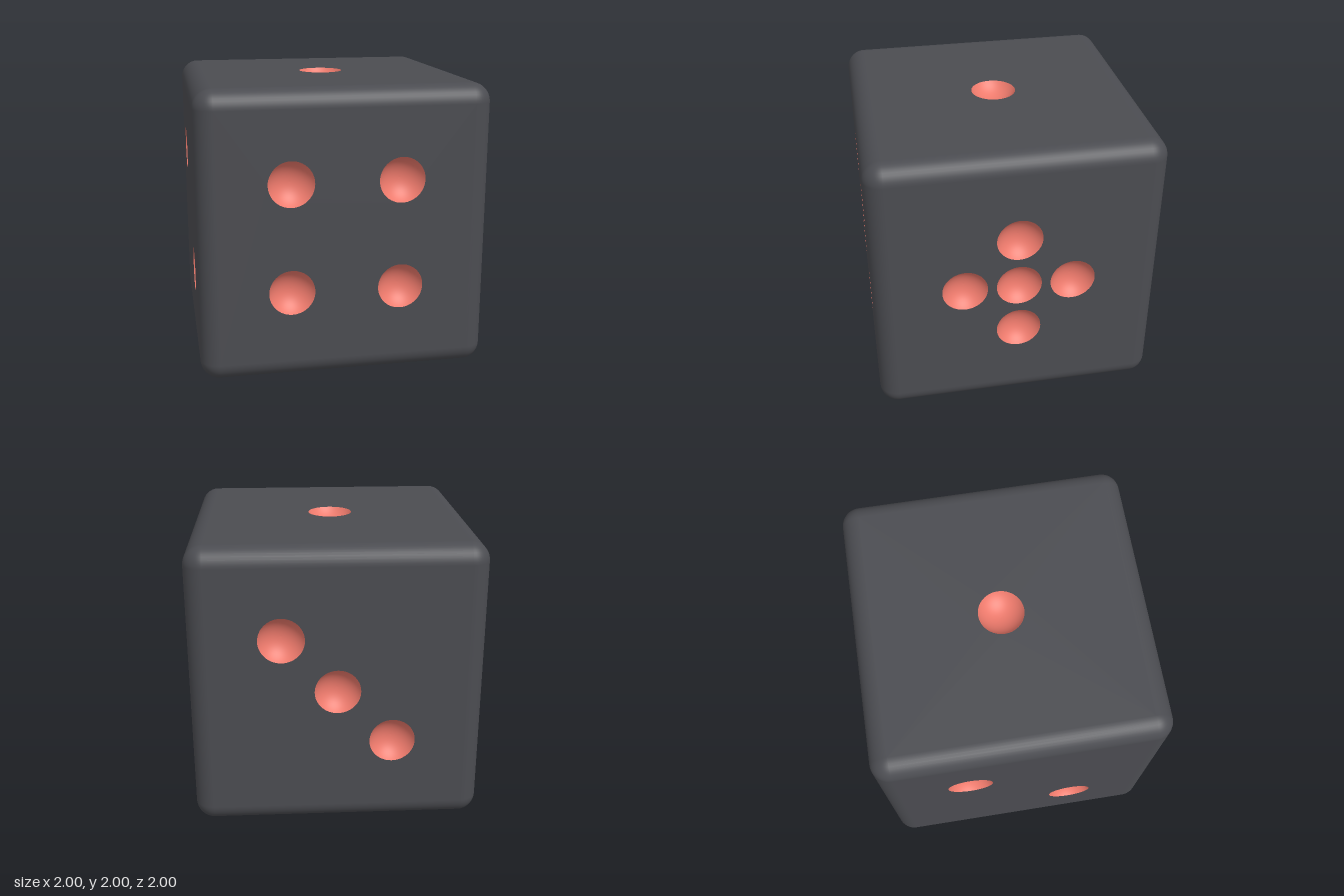
import * as THREE from 'three';
import { mergeGeometries } from 'three/addons/utils/BufferGeometryUtils.js';

const HALF = 1;          // half the cube's side
const ROUND = 0.13;      // radius of the rounded edges
const FLAT = HALF - ROUND;
const PIP_RADIUS = 0.157;
const PIP_DEPTH = 0.09;
const S = 0.375;         // pip spacing
const QUARTER = Math.PI / 2;

// Each face is laid out facing +z, then turned into place.
const FACES = [
  { name: 'front', turn: [0, 0], pips: [[-S, S], [S, S], [-S, -S], [S, -S]] },
  { name: 'back', turn: [0, Math.PI], pips: [[-S, S], [0, 0], [S, -S]] },
  { name: 'left', turn: [0, QUARTER], pips: [[0, 0], [0, S], [0, -S], [S, 0], [-S, 0]] },
  { name: 'right', turn: [0, -QUARTER], pips: [[-S, S], [S, -S]] },
  { name: 'top', turn: [-QUARTER, 0], pips: [[0, 0]] },
  { name: 'bottom', turn: [QUARTER, 0], pips: [[-S, S], [-S, 0], [-S, -S], [S, S], [S, 0], [S, -S]] },
];

// Flat face with a round opening for every pip
function facePanel(pips) {
  const shape = new THREE.Shape();
  shape.moveTo(-FLAT, -FLAT).lineTo(FLAT, -FLAT).lineTo(FLAT, FLAT).lineTo(-FLAT, FLAT).closePath();
  for (const [x, y] of pips) {
    shape.holes.push(new THREE.Path().absarc(x, y, PIP_RADIUS, 0, Math.PI * 2, true));
  }
  return new THREE.ShapeGeometry(shape, 24).translate(0, 0, HALF);
}

// Shallow spherical bowl, open towards +z
function pipBowl() {
  const R = (PIP_RADIUS ** 2 + PIP_DEPTH ** 2) / (2 * PIP_DEPTH);
  const rimAngle = Math.asin(PIP_RADIUS / R);
  const profile = [];
  for (let i = 12; i >= 0; i--) {
    const a = rimAngle * i / 12;
    profile.push(new THREE.Vector2(R * Math.sin(a), R - PIP_DEPTH - R * Math.cos(a)));
  }
  return new THREE.LatheGeometry(profile, 48).rotateX(QUARTER);
}

// Twelve quarter-round edges and eight ball corners
function roundedRim() {
  const parts = [];
  for (let i = 0; i < 4; i++) {
    const edge = new THREE.CylinderGeometry(ROUND, ROUND, 2 * FLAT, 10, 1, true, 0, QUARTER)
      .translate(FLAT, 0, FLAT).rotateY(i * QUARTER);
    parts.push(edge, edge.clone().rotateX(QUARTER), edge.clone().rotateZ(QUARTER));

    const corner = new THREE.SphereGeometry(ROUND, 10, 10, QUARTER, QUARTER, 0, QUARTER)
      .translate(FLAT, FLAT, FLAT).rotateY(i * QUARTER);
    parts.push(corner, corner.clone().rotateX(Math.PI));
  }
  return parts;
}

export function createModel() {
  const model = new THREE.Group();
  model.name = 'die';
  const bodyMaterial = new THREE.MeshStandardMaterial({ color: 0x4b4c51 });
  const pipMaterial = new THREE.MeshStandardMaterial({ color: 0xee7a6c });

  const bodyParts = roundedRim();
  const bowl = pipBowl();

  for (const { name, turn, pips } of FACES) {
    bodyParts.push(facePanel(pips).rotateX(turn[0]).rotateY(turn[1]));

    // Pips of this face
    const group = new THREE.Group();
    group.name = `${name}Pips`;
    group.rotation.set(turn[0], turn[1], 0);
    for (const [x, y] of pips) {
      const pip = new THREE.Mesh(bowl, pipMaterial);
      pip.name = 'pip';
      pip.position.set(x, y, HALF);
      group.add(pip);
    }
    group.position.y = HALF;
    model.add(group);
  }

  const body = new THREE.Mesh(mergeGeometries(bodyParts), bodyMaterial);
  body.name = 'body';
  body.position.y = HALF;
  model.add(body);
  return model;
}
